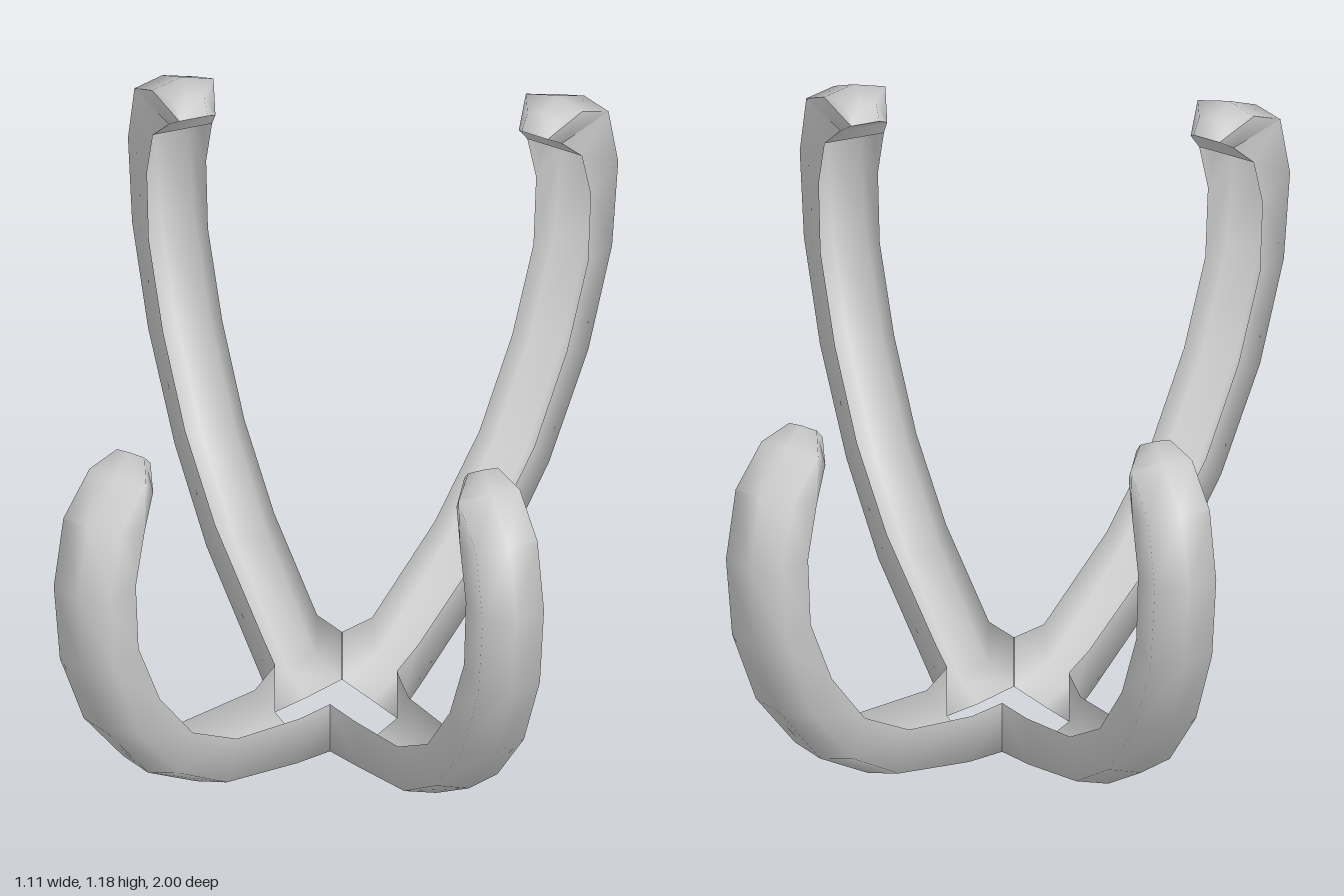
import * as THREE from 'three';
import { toCreasedNormals } from 'three/addons/utils/BufferGeometryUtils.js';

// Arm heading in plan and the sideways axis across it
const S = new THREE.Vector3(0.418, 0, 0.909);
const P = new THREE.Vector3(0.909, 0, -0.418);

// Cross-section loop: [across -1..1, depth from rim to outer edge, crown amount]
const LOOP = [[1, 0, 0], [-1, 0, 0], [-1, 1, 0], [0, 1, 1], [1, 1, 0]];

// Stations along the arm: rim (s, y), outer edge (s, y),
// half width at rim and outer edge, crown height
const R = 0.071, W = 0.0738;
const STATIONS = [
  { rim: [0.097, 0.147], out: [0.097, 0.02], w: [0.0945, 0.0945], crown: 0.016, mid: 0.031, skew: 0.039, bulge: 0.017 },
  { rim: [0.197, 0.147], out: [0.21, 0.034], w: [W, W], crown: 0.017, skew: 0.026 },
  { rim: [0.505, 0.25], out: [0.556, 0.162], w: [R, W], crown: 0.018 },
  { rim: [0.707, 0.38], out: [0.772, 0.308], w: [R, W], crown: 0.02 },
  { rim: [0.856, 0.555], out: [0.95, 0.51], w: [R, W], crown: 0.02 },
  { rim: [0.953, 0.745], out: [1.058, 0.73], w: [R, W], crown: 0.02 },
  { rim: [0.965, 0.92], out: [1.086, 0.94], w: [R, W], crown: 0.02 },
  { rim: [0.925, 1.045], out: [1.042, 1.1], w: [R, W], crown: 0.02 },
  { rim: [0.86, 1.11], out: [0.923, 1.167], w: [0.056, W], crown: 0.018 },
  { rim: [0.808, 1.148], out: [0.838, 1.179], w: [0.034, 0.036], crown: 0.009, mid: 0.055 },
];
const TIP_START = 7; // the trough is closed on its inner side from here on

function sectionPoints({ rim, out, w, crown, mid = 0.04, skew = 0, bulge = 0 }) {
  const ds = out[0] - rim[0], dy = out[1] - rim[1], len = Math.hypot(ds, dy);
  return LOOP.map(([f, t, c]) => {
    const depth = t + (c * crown) / len;
    const s = rim[0] + ds * depth - skew * f + bulge * (1 - f * f);
    const p = mid + f * THREE.MathUtils.lerp(w[0], w[1], t);
    return new THREE.Vector3().addScaledVector(S, s).addScaledVector(P, p).setY(rim[1] + dy * depth);
  });
}

// Thin U-shaped trough, open inward and at the root, with a solid hooked tip
function armGeometry() {
  const n = LOOP.length;
  const points = STATIONS.flatMap(sectionPoints);
  const last = points.length - n;
  const index = [];
  for (let k = 0; k < STATIONS.length - 1; k++) {
    for (let i = k < TIP_START ? 1 : 0; i < n; i++) {
      const a = k * n + i, b = k * n + (i + 1) % n;
      index.push(a, b, b + n, a, b + n, a + n);
    }
  }
  // Tip cap
  for (let i = 1; i < n - 1; i++) index.push(last, last + i, last + i + 1);

  const geometry = new THREE.BufferGeometry().setFromPoints(points);
  geometry.setIndex(index);
  return toCreasedNormals(geometry, THREE.MathUtils.degToRad(85));
}

export function createModel() {
  const model = new THREE.Group();
  model.name = 'fourArmCradle';
  const material = new THREE.MeshStandardMaterial({ color: 0xcccccc, side: THREE.DoubleSide });
  const geometry = armGeometry();

  // Four hooked arms, mirrored across both planes and meeting around the opening
  for (const [z, end] of [[1, 'front'], [-1, 'back']]) {
    for (const [x, side] of [[1, 'Left'], [-1, 'Right']]) {
      const arm = new THREE.Mesh(geometry, material);
      arm.name = `${end}${side}Arm`;
      arm.scale.set(x, 1, z);
      model.add(arm);
    }
  }
  return model;
}
